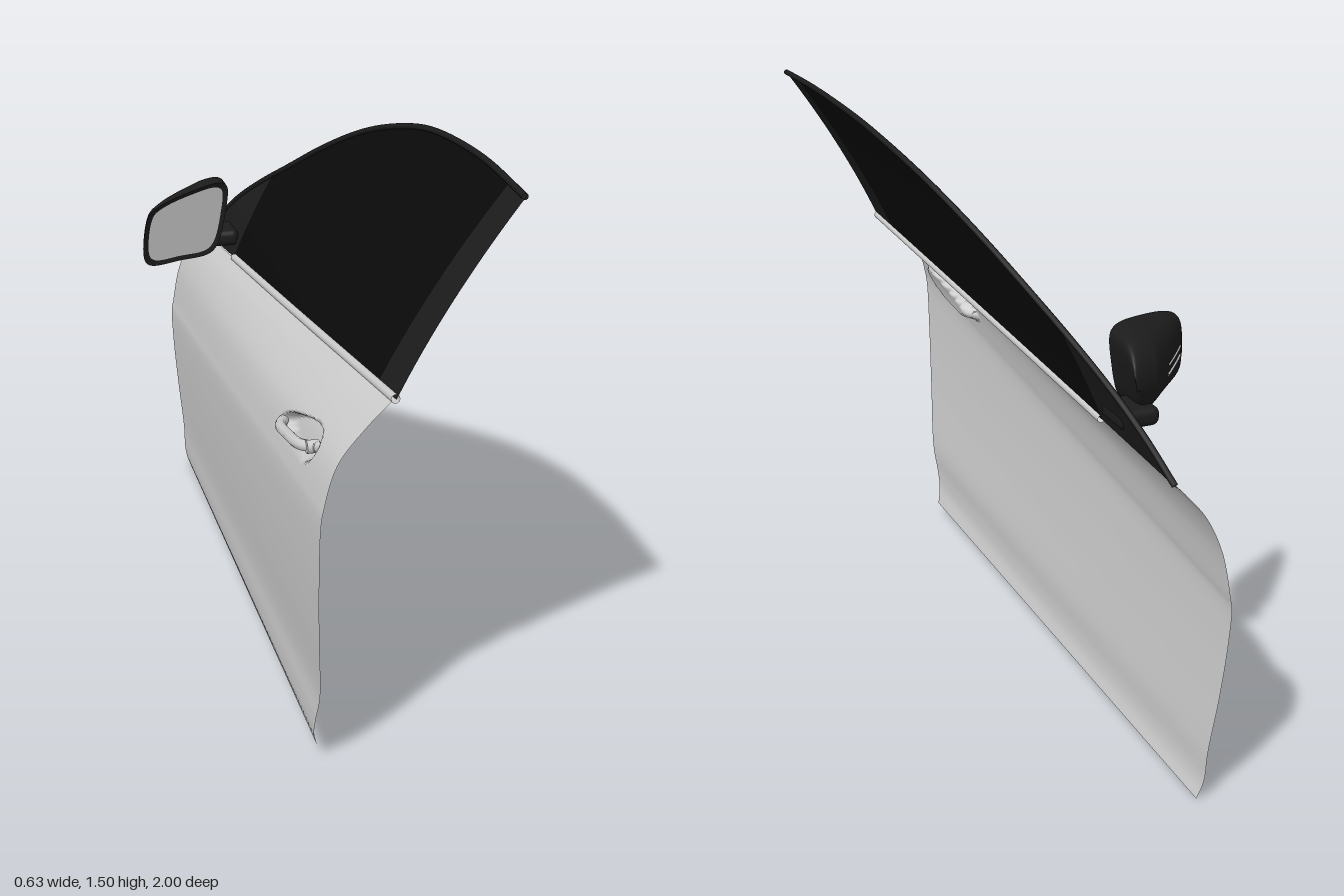
import * as THREE from 'three';
import { ParametricGeometry } from 'three/addons/geometries/ParametricGeometry.js';
import { RoundedBoxGeometry } from 'three/addons/geometries/RoundedBoxGeometry.js';

const V = (x, y, z) => new THREE.Vector3(x, y, z);
const { lerp, clamp, smoothstep } = THREE.MathUtils;
const material = (color) => new THREE.MeshStandardMaterial({ color, side: THREE.DoubleSide });

// Window plane: x leans inward with height, between the belt line and the roof curve
const windowX = (y) => -0.03 + 0.329 * (y - 0.84) + 0.282 * (y - 0.84) ** 2;
const beltY = (z) => 0.84 + (z + 0.9) * 0.0973;
const roof = new THREE.SplineCurve([
  [-0.9, 0.84], [-0.8, 0.94], [-0.7, 1.02], [-0.55, 1.11], [-0.4, 1.19], [-0.2, 1.3],
  [0, 1.39], [0.2, 1.45], [0.4, 1.485], [0.7, 1.5], [1, 1.49],
].map(([z, y]) => new THREE.Vector2(z, y))).getPoints(120);
function roofY(z) {
  const i = clamp(roof.findIndex((p) => p.x >= z), 1, roof.length - 1);
  const a = roof[i - 1], b = roof[i];
  return lerp(a.y, b.y, clamp((z - a.x) / (b.x - a.x), 0, 1));
}

export function createModel() {
  const group = new THREE.Group();
  const grey = material(0xcccccc), black = material(0x0a0a0a), dark = material(0x1c1c1c);
  const add = (name, geometry, mat, parent = group) => {
    const mesh = new THREE.Mesh(geometry, mat);
    mesh.name = name;
    parent.add(mesh);
    return mesh;
  };
  const surface = (fn, nu, nv) =>
    new ParametricGeometry((u, v, target) => target.copy(fn(u, v)), nu, nv);
  const tube = (points, radius, segments = 60) =>
    new THREE.TubeGeometry(new THREE.CatmullRomCurve3(points), segments, radius, 10);

  // Door skin: loft between the rear and front edge profiles, with the handle bowl pressed in
  const rearEdge = new THREE.CatmullRomCurve3([
    V(-0.1, 0.04, 0.81), V(-0.113, 0.09, 0.83), V(-0.115, 0.14, 0.85), V(-0.111, 0.22, 0.875),
    V(-0.13, 0.42, 0.935), V(-0.142, 0.6, 0.975), V(-0.145, 0.75, 0.997), V(-0.14, 0.79, 1),
    V(-0.105, 0.89, 0.985), V(-0.03, 0.97, 0.965), V(0.03, 1.015, 0.945),
  ]);
  const frontEdge = new THREE.CatmullRomCurve3([
    V(-0.09, 0, -0.95), V(-0.1, 0.03, -0.955), V(-0.105, 0.06, -0.96), V(-0.107, 0.14, -0.967),
    V(-0.12, 0.3, -0.985), V(-0.13, 0.44, -0.995), V(-0.133, 0.55, -1), V(-0.128, 0.58, -1),
    V(-0.108, 0.7, -0.985), V(-0.075, 0.785, -0.96), V(-0.035, 0.838, -0.93),
  ]);
  const bowlY = (z) => 0.855 + (z - 0.8) * 0.2;
  add('doorPanel', surface((u, v) => {
    const p = rearEdge.getPoint(v).lerp(frontEdge.getPoint(v), u);
    const height = 0.035 + 0.07 * clamp(p.z - 0.5, 0, 0.33);
    const e = Math.abs((p.z - 0.665) / 0.17) ** 3 + ((p.y - bowlY(p.z)) / height) ** 2;
    p.x += 0.04 * smoothstep(1 - e, 0, 0.6);
    return p;
  }, 200, 110), grey);

  // Pull handle bridging the bowl, and its lock
  const handle = new THREE.Group();
  handle.name = 'doorHandle';
  group.add(handle);
  add('handleBar', tube([
    V(-0.105, bowlY(0.81), 0.81), V(-0.134, bowlY(0.77), 0.77), V(-0.14, bowlY(0.66), 0.66),
    V(-0.134, bowlY(0.56), 0.56), V(-0.115, bowlY(0.51), 0.51),
  ], 0.014), grey, handle);
  const lock = add('handleLock', new THREE.CylinderGeometry(0.016, 0.016, 0.03, 20), grey, handle);
  lock.rotation.z = Math.PI / 2;
  lock.position.set(-0.115, bowlY(0.8), 0.8);

  // Window pieces: each runs between two slanted lines from belt to roof
  const beltPoint = (z, lift = 0) => V(windowX(beltY(z)), beltY(z) + lift, z);
  const pane = (bottom0, top0, bottom1, top1) => surface((u, v) => {
    const zb = lerp(bottom0, bottom1, u), zt = lerp(top0, top1, u);
    const y = lerp(beltY(zb), roofY(zt), v);
    return V(windowX(y), y, lerp(zb, zt, v));
  }, 60, 24);
  add('windowGlass', pane(0.82, 0.895, -0.535, -0.49), black);
  add('rearPillarTrim', pane(0.95, 1, 0.82, 0.895), dark);
  add('mirrorSail', pane(-0.535, -0.49, -0.9, -0.9), dark);
  const rail = [];
  for (let i = 0; i <= 24; i++) {
    const z = lerp(0.995, -0.89, i / 24), y = roofY(z) - 0.006;
    rail.push(V(windowX(y), y, z));
  }
  add('windowFrame', tube(rail, 0.008, 120), dark);
  add('beltStrip', tube([beltPoint(0.945), beltPoint(0.2), beltPoint(-0.53)], 0.011), grey);

  // Wing mirror: rounded outline, swept forward into a tapering shell
  const mirror = new THREE.Group();
  mirror.name = 'wingMirror';
  group.add(mirror);
  const outline = new THREE.CatmullRomCurve3([
    [-0.314, 0.94], [-0.296, 1.065], [-0.26, 1.088], [-0.16, 1.11], [-0.06, 1.116], [-0.038, 1.1],
    [-0.045, 1.02], [-0.072, 0.93], [-0.1, 0.907], [-0.2, 0.909], [-0.295, 0.917],
  ].map(([x, y]) => V(x, y, 0)), true);
  const centre = V(-0.175, 1.01, 0);
  const faceZ = (x) => -0.385 - (x + 0.31) * 0.52;
  const inset = (u, scale, depth) => {
    const p = outline.getPoint(u % 1).sub(centre).multiplyScalar(scale).add(centre);
    p.z = faceZ(p.x) - depth;
    return p;
  };
  const shellPoint = (u, t) => {
    const p = outline.getPoint(u % 1);
    const depth = lerp(0.04, 0.175, clamp((p.x + 0.314) / 0.2, 0, 1) ** 0.8);
    p.y = centre.y + (p.y - centre.y) * Math.sqrt(Math.max(0, 1 - t ** 3));
    p.z = faceZ(p.x) - depth * t;
    p.x += 0.015 * t * t;
    return p;
  };
  add('mirrorShell', surface((u, t) => shellPoint(u, Math.sin(t * Math.PI / 2)), 80, 24), dark, mirror);
  add('mirrorRim', surface((u, v) => inset(u, lerp(0.87, 1, v), 0.006 * (1 - v)), 80, 4), dark, mirror);
  add('mirrorGlass', surface((u, v) => inset(u, lerp(0.001, 0.88, v), 0.005), 80, 6), grey, mirror);
  const foot = add('mirrorFoot', new RoundedBoxGeometry(0.11, 0.05, 0.12, 4, 0.02), dark, mirror);
  foot.position.set(-0.05, 0.925, -0.62);

  // Two slim indicator strips on the outer face of the shell
  for (const y of [0.985, 1.01]) {
    const strip = [];
    for (let i = 0; i <= 6; i++) {
      const x = lerp(-0.285, -0.19, i / 6);
      const depth = lerp(0.04, 0.175, clamp((x + 0.314) / 0.2, 0, 1) ** 0.8);
      strip.push(V(x + 0.015, y, faceZ(x) - depth * 0.98));
    }
    add('indicatorStrip', tube(strip, 0.004, 20), grey, mirror);
  }
  return group;
}
